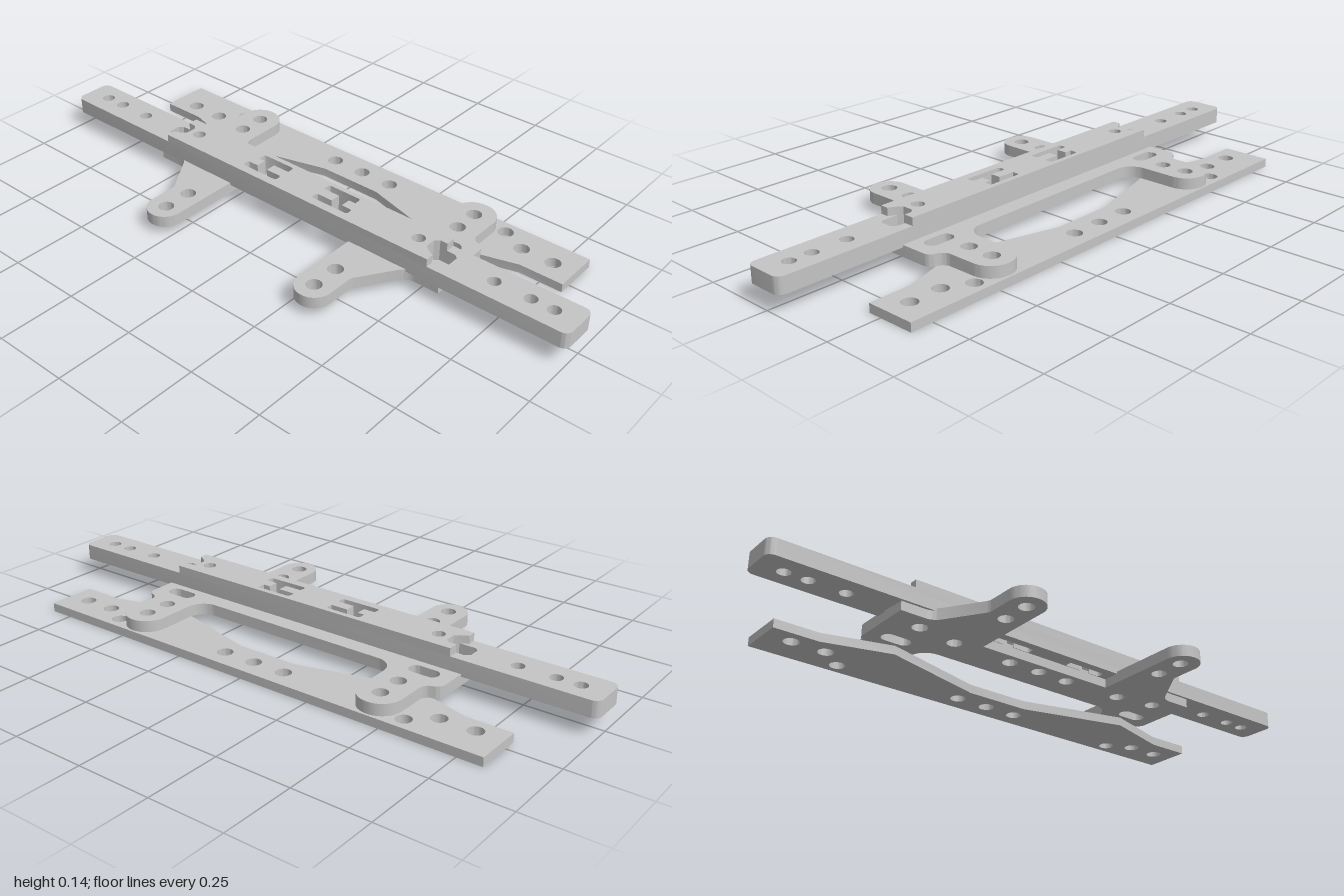
import * as THREE from 'three';
import { toCreasedNormals } from 'three/addons/utils/BufferGeometryUtils.js';

// Draws a closed outline of [x, z, fillet] points, filleting corners where given
function trace(path, pts) {
  const n = pts.length;
  const v = pts.map(([x, z]) => new THREE.Vector2(x, -z));
  for (let i = 0; i < n; i++) {
    const p = v[i], f = pts[i][2] || 0;
    const toward = (q, d) => p.clone().add(q.clone().sub(p).setLength(d));
    const prev = v[(i + n - 1) % n], next = v[(i + 1) % n];
    const a = f ? toward(prev, f) : p;
    if (i === 0) path.moveTo(a.x, a.y); else path.lineTo(a.x, a.y);
    if (f) {
      const b = toward(next, f), c = toward(prev, f * 0.45), d = toward(next, f * 0.45);
      path.bezierCurveTo(c.x, c.y, d.x, d.y, b.x, b.y);
    }
  }
  path.closePath();
  return path;
}

const round = (x, z, r) => new THREE.Path().absarc(x, -z, r, 0, Math.PI * 2, true);
const cut = (pts) => trace(new THREE.Path(), pts);
const flip = (pts) => pts.map(([x, z, f]) => [-x, z, f]);
const mirrored = (half) => [...half, ...flip(half).reverse()];

// Flat plate between heights y0 and y1; outlines are listed clockwise from above
// and reversed here, so that the extrusion turns every hole wall the right way
function plate(name, outline, holes, y0, y1, material) {
  const shape = trace(new THREE.Shape(), [...outline].reverse());
  shape.holes.push(...holes);
  const geo = new THREE.ExtrudeGeometry(shape, { depth: y1 - y0, bevelEnabled: false, curveSegments: 12 });
  geo.rotateX(-Math.PI / 2);
  geo.translate(0, y0, 0);
  const mesh = new THREE.Mesh(toCreasedNormals(geo, 0.6), material);
  mesh.name = name;
  return mesh;
}

export function createModel() {
  const group = new THREE.Group();
  group.name = 'mountingBracket';
  const grey = new THREE.MeshStandardMaterial({ color: 0xc4c4c4 });
  grey.name = 'grey';

  // Thin rear plate with scattered screw holes
  group.add(plate('rearPlate', [
    [-0.832, -0.368], [0.826, -0.368], [0.826, -0.207], [0.68, -0.207], [0.46, -0.143],
    [0.11, -0.238], [-0.11, -0.238], [-0.46, -0.143], [-0.68, -0.207], [-0.832, -0.207],
  ], [
    [-0.745, -0.26], [-0.63, -0.26], [-0.555, -0.323], [-0.115, -0.302], [0, -0.302],
    [0.115, -0.302], [0.555, -0.323], [0.64, -0.28], [0.75, -0.28],
  ].map(([x, z]) => round(x, z, 0.0255)), 0, 0.029, grey));

  // Middle frame: two rear arms, crosspiece and two front legs
  const frameHalf = [
    [0.385, -0.115, 0.06], [0.385, -0.36, 0.069], [0.527, -0.36, 0.069], [0.527, -0.18, 0.02],
    [0.575, -0.163, 0.02], [0.575, 0.068], [0.465, 0.068, 0.025], [0.369, 0.215, 0.01],
    [0.369, 0.368, 0.06], [0.248, 0.368, 0.06], [0.248, 0.02],
  ];
  const frameHoles = [round(0, -0.02, 0.025)];
  for (const s of [-1, 1]) {
    for (const [x, z] of [[0.455, -0.292], [0.455, -0.202], [0.307, 0.21], [0.307, 0.307],
      [0.47, 0.007], [0.33, -0.015], [0.115, -0.022]]) frameHoles.push(round(s * x, z, 0.025));
    const slot = [[0.43, -0.13, 0.023], [0.53, -0.13, 0.023], [0.53, -0.083, 0.023], [0.43, -0.083, 0.023]];
    frameHoles.push(cut(s > 0 ? slot : flip(slot)));
  }
  group.add(plate('middleFrame', mirrored(frameHalf), frameHoles, 0.029, 0.067, grey));

  // I-shaped pockets and holes shared by the crossbar and its raised centre
  const pocket = [
    [0.075, -0.04, 0.008], [0.2, -0.04, 0.008], [0.2, -0.013], [0.175, -0.013], [0.175, 0.022], [0.215, 0.022, 0.008],
    [0.215, 0.048, 0.008], [0.075, 0.048, 0.008], [0.075, 0.022, 0.008], [0.135, 0.022], [0.135, -0.013], [0.075, -0.013],
  ];
  const sharedHoles = () => [cut(pocket), cut(flip(pocket)), round(0.455, 0.007, 0.021), round(-0.455, 0.007, 0.021)];

  // Long crossbar with end holes and locating windows
  const windowCut = [
    [0.51, -0.025], [0.565, -0.025], [0.578, -0.013], [0.578, 0.024],
    [0.565, 0.036], [0.51, 0.036], [0.496, 0.024], [0.496, -0.013],
  ];
  const barHoles = [...sharedHoles(), cut(windowCut), cut(flip(windowCut))];
  for (const x of [0.72, 0.84, 0.915]) barHoles.push(round(x, 0.007, 0.021), round(-x, 0.007, 0.021));
  group.add(plate('crossbar', mirrored([[1, -0.058, 0.025], [1, 0.077, 0.025]]), barHoles, 0.059, 0.112, grey));

  // Raised centre, notched at both ends over the windows
  group.add(plate('raisedCentre', mirrored([
    [0.535, -0.058], [0.535, -0.025], [0.51, -0.025], [0.496, -0.013],
    [0.496, 0.024], [0.51, 0.036], [0.535, 0.05], [0.535, 0.077],
  ]), sharedHoles(), 0.112, 0.138, grey));

  return group;
}
